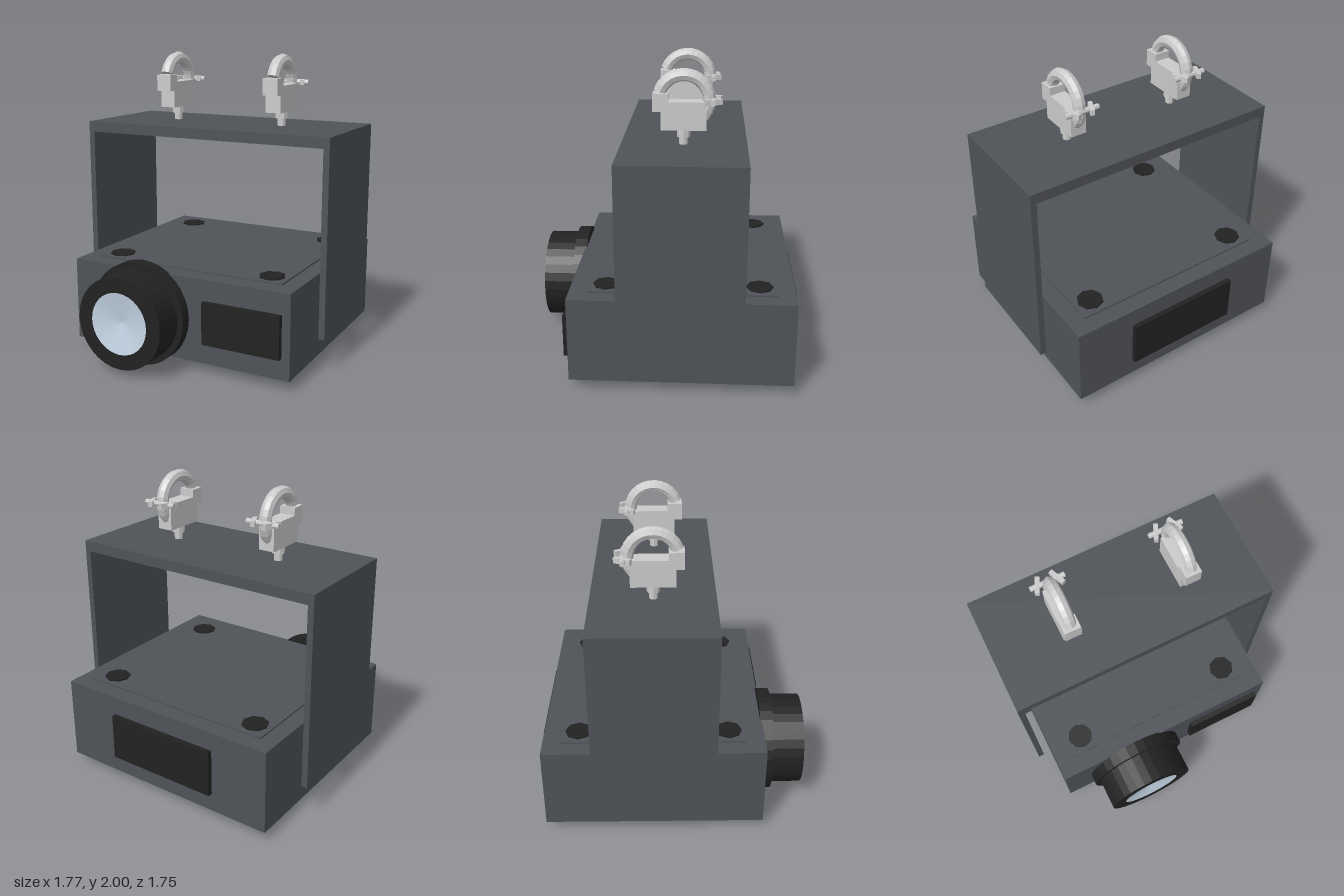
import * as THREE from 'three';
import { mergeGeometries } from 'three/addons/utils/BufferGeometryUtils.js';

const paint = (color) => new THREE.MeshStandardMaterial({ color, flatShading: true });
const housingPaint = paint(0x4f5358);
const black = paint(0x222222);
const steel = paint(0xcccccc);

function add(parent, name, geometry, material, x = 0, y = 0, z = 0) {
  const mesh = new THREE.Mesh(geometry, material);
  mesh.name = name;
  mesh.position.set(x, y, z);
  parent.add(mesh);
  return mesh;
}

// Box given by its limits on each axis
function block(parent, name, material, [x0, x1], [y0, y1], [z0, z1]) {
  const geometry = new THREE.BoxGeometry(x1 - x0, y1 - y0, z1 - z0);
  return add(parent, name, geometry, material, (x0 + x1) / 2, (y0 + y1) / 2, (z0 + z1) / 2);
}

// Extrusion of a side outline, given as [z, y] points, centred on x
function sideExtrude(points, width) {
  const shape = new THREE.Shape(points.map(([z, y]) => new THREE.Vector2(-z, y)));
  return new THREE.ExtrudeGeometry(shape, { depth: width, bevelEnabled: false })
    .translate(0, 0, -width / 2).rotateY(Math.PI / 2);
}

// Capped arc of a ring standing in the side plane
function hookGeometry(radius, tube, start, arc) {
  const ring = new THREE.TorusGeometry(radius, tube, 8, 16, arc);
  const startCap = new THREE.CircleGeometry(tube, 8).rotateX(Math.PI / 2).translate(radius, 0, 0);
  const endCap = new THREE.CircleGeometry(tube, 8).rotateX(-Math.PI / 2).translate(radius, 0, 0).rotateZ(arc);
  return mergeGeometries([ring, startCap, endCap]).rotateZ(start).rotateY(Math.PI / 2);
}

function createClamp(x) {
  const clamp = new THREE.Group();
  clamp.name = 'clamp';
  clamp.position.set(x, 0, -0.12);

  // Stem and collar
  add(clamp, 'clampStem', new THREE.CylinderGeometry(0.028, 0.028, 0.06, 8), steel, 0, 1.56, 0);
  add(clamp, 'clampCollar', new THREE.CylinderGeometry(0.042, 0.042, 0.05, 8), steel, 0, 1.602, 0);

  // Block with a raised front jaw
  const outline = [[0.14, 1.625], [0.14, 1.74], [0.19, 1.74], [0.19, 1.85],
    [0.095, 1.85], [0.095, 1.8], [-0.14, 1.8], [-0.14, 1.625]];
  add(clamp, 'clampBlock', sideExtrude(outline, 0.106), steel);

  // Hook over the pipe
  const rad = THREE.MathUtils.degToRad;
  add(clamp, 'clampHook', hookGeometry(0.155, 0.04, rad(-52), rad(212)), steel, 0, 1.805, 0);

  // Cross bolt with slanted wings
  const bolt = new THREE.CylinderGeometry(0.018, 0.018, 0.23, 8).rotateZ(Math.PI / 2);
  add(clamp, 'clampBolt', bolt, steel, 0, 1.807, -0.18);
  for (const side of [-1, 1]) {
    const wing = add(clamp, 'boltWing', new THREE.BoxGeometry(0.028, 0.035, 0.11), steel,
      side * 0.065, 1.807, -0.18);
    wing.rotation.y = side * 0.42;
  }
  return clamp;
}

export function createModel() {
  const model = new THREE.Group();
  model.name = 'projector';

  // Housing with raised lid
  block(model, 'housing', housingPaint, [-0.79, 0.79], [0.07, 0.63], [-0.84, 0.59]);
  block(model, 'lid', housingPaint, [-0.68, 0.68], [0.62, 0.641], [-0.73, 0.47]);
  for (const x of [-0.565, 0.565]) {
    for (const z of [-0.615, 0.36]) {
      add(model, 'lidFoot', new THREE.CylinderGeometry(0.085, 0.085, 0.03, 8), black, x, 0.636, z);
    }
  }

  // Front and back panels
  block(model, 'frontPanel', black, [0.2, 0.735], [0.21, 0.49], [0.57, 0.625]);
  block(model, 'backPanel', black, [-0.395, 0.39], [0.195, 0.505], [-0.873, -0.82]);

  // Lens: flange, barrel and shallow hollow glass
  const barrel = [[0, 0.58], [0.345, 0.58], [0.345, 0.665], [0.305, 0.665], [0.305, 0.873], [0.205, 0.873]]
    .map(([r, z]) => new THREE.Vector2(r, z));
  const glass = [new THREE.Vector2(0.205, 0.873), new THREE.Vector2(0, 0.835)];
  const glassPaint = new THREE.MeshStandardMaterial({ color: 0xc4d4e4 });
  add(model, 'lensBarrel', new THREE.LatheGeometry(barrel, 32).rotateX(Math.PI / 2), black, -0.255, 0.348, 0);
  add(model, 'lensGlass', new THREE.LatheGeometry(glass, 32).rotateX(Math.PI / 2), glassPaint, -0.255, 0.348, 0);

  // U-shaped yoke
  const yoke = new THREE.Shape([[-0.887, 0.245], [-0.847, 0.245], [-0.847, 1.457], [0.847, 1.457],
    [0.847, 0.245], [0.887, 0.245], [0.887, 1.527], [-0.887, 1.527]].map(([x, y]) => new THREE.Vector2(x, y)));
  add(model, 'yoke', new THREE.ExtrudeGeometry(yoke, { depth: 0.785, bevelEnabled: false }),
    housingPaint, 0, 0, -0.515);

  // Yoke pivots and pipe clamps
  for (const side of [-1, 1]) {
    const pivot = new THREE.CylinderGeometry(0.07, 0.07, 0.08, 16).rotateZ(Math.PI / 2);
    add(model, 'yokePivot', pivot, housingPaint, side * 0.82, 0.35, -0.12);
    model.add(createClamp(side * 0.398));
  }
  return model;
}
